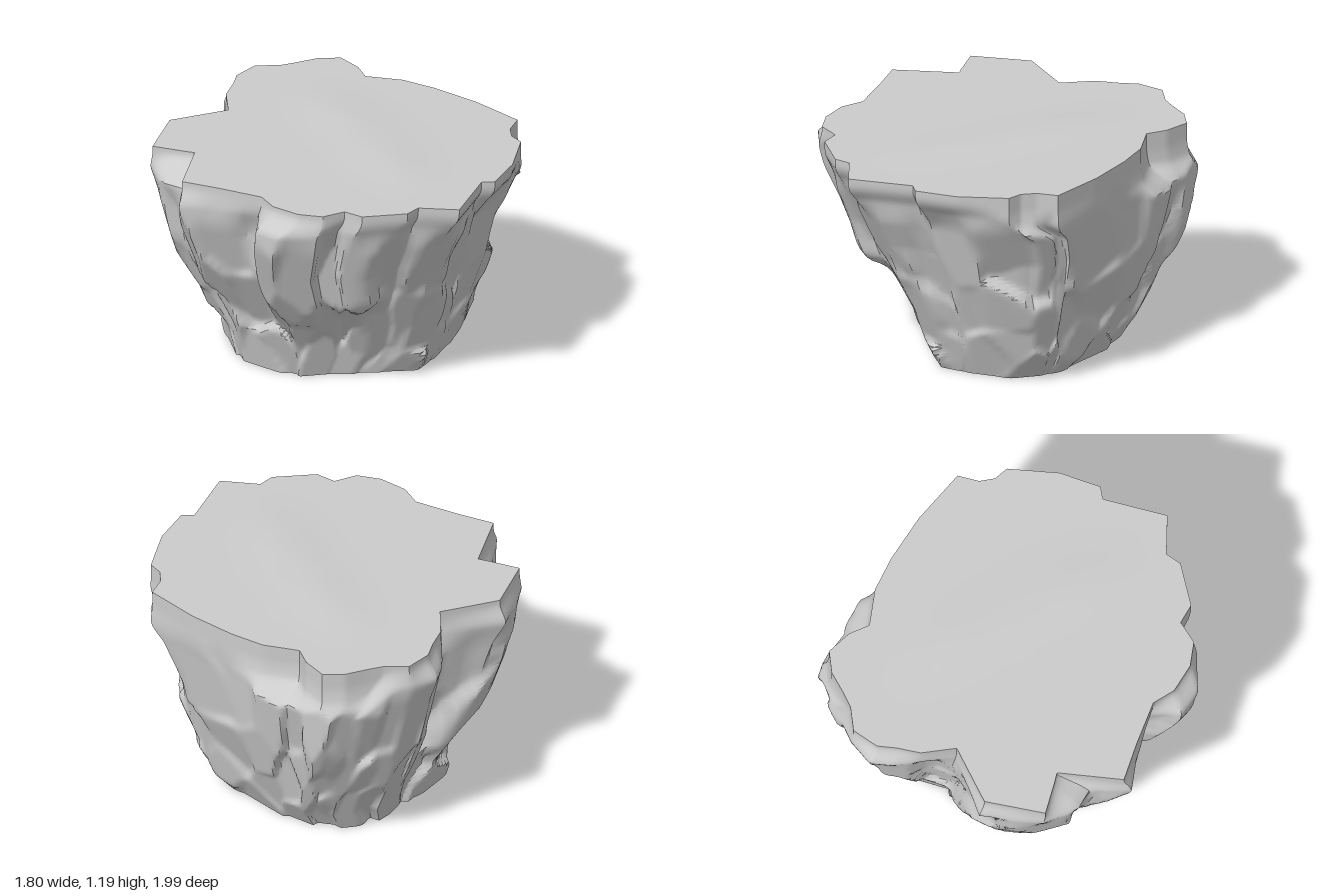
import * as THREE from 'three';
import { mergeVertices, toCreasedNormals } from 'three/addons/utils/BufferGeometryUtils.js';

const TOP = 1.18, ROWS = 64, SUB = 6;

// Rim outline, clockwise from the back notch: widest x, z, then flat top x, z
const RIM = [
  [-.04, -.7, -.04, -.7], [.1, -.84, .1, -.83], [.21, -.94, .22, -.88], [.31, -1, .31, -.93],
  [.46, -.95, .46, -.93], [.57, -.88, .55, -.83], [.68, -.82, .62, -.79], [.79, -.74, .74, -.73],
  [.89, -.65, .82, -.64], [.85, -.5, .79, -.5], [.86, -.4, .73, -.4], [.89, -.24, .82, -.22],
  [.86, -.03, .85, -.03], [.86, .24, .86, .24], [.84, .56, .83, .55], [.78, .58, .72, .59],
  [.78, .68, .66, .65], [.65, .77, .64, .73], [.4, .87, .4, .87], [.18, .93, .18, .93],
  [.13, .88, .13, .88], [-.2, 1, -.2, 1], [-.32, .82, -.32, .82], [-.41, .82, -.41, .82],
  [-.6, .66, -.59, .66], [-.61, .55, -.6, .55], [-.75, .52, -.72, .5], [-.87, .36, -.78, .38],
  [-.87, .2, -.79, .22], [-.74, .1, -.74, .1], [-.82, -.15, -.8, -.14], [-.9, -.31, -.86, -.34],
  [-.72, -.44, -.55, -.51], [-.74, -.56, -.57, -.56], [-.63, -.74, -.63, -.73], [-.33, -.91, -.33, -.86],
];

// Extents by height: y, min x, max x, min z, max z
const EXTENTS = [
  [0, -.46, .6, -.6, .49], [.12, -.49, .7, -.65, .57], [.34, -.56, .76, -.76, .64], [.55, -.71, .82, -.85, .73],
  [.75, -.82, .87, -.91, .79], [.93, -.87, .89, -.97, .89], [1.06, -.9, .89, -1, .95], [1.18, -.9, .89, -1, 1],
];

const { lerp, clamp, smoothstep } = THREE.MathUtils;

function seeded(seed) {
  return () => {
    seed = (seed * 1664525 + 1013904223) >>> 0;
    return seed / 4294967296;
  };
}

function extentAt(y) {
  let k = 0;
  while (k < EXTENTS.length - 2 && y > EXTENTS[k + 1][0]) k++;
  const a = EXTENTS[k], b = EXTENTS[k + 1];
  const t = clamp((y - a[0]) / (b[0] - a[0]), 0, 1);
  return a.map((v, i) => lerp(v, b[i], t));
}

// Uncut tapering body: u runs round the rim (0..1), y is the height
function bodyPoint(u, y) {
  const s = (((u % 1) + 1) % 1) * RIM.length, k = Math.floor(s) % RIM.length;
  const p = RIM[k].map((v, i) => lerp(v, RIM[(k + 1) % RIM.length][i], s - Math.floor(s)));
  const e = extentAt(y);
  // normalise to -1..1, easing the outline into a rounded square towards the foot
  let nx = (p[0] + .005) / .895, nz = p[1];
  const square = (Math.abs(nx) ** 2.6 + Math.abs(nz) ** 2.6) ** (1 / 2.6);
  let scale = lerp(1, 1 / square, .7 * (1 - smoothstep(y, 0, .9)));
  // the foot is cut back at the front right corner
  const corner = smoothstep((nz - nx) / (Math.hypot(nx, nz) * Math.SQRT2), .75, 1);
  scale *= 1 - .24 * corner * (1 - smoothstep(y, .05, .62));
  nx *= scale;
  nz *= scale;
  const x = (e[1] + e[2]) / 2 + nx * (e[2] - e[1]) / 2;
  const z = (e[3] + e[4]) / 2 + nz * (e[4] - e[3]) / 2;
  // bulges end in ledges below the flat top, lower on the left side
  const drop = .15 * smoothstep(p[0], .5, .75);
  const cap = smoothstep(y, 1.04 - drop, 1.16 - drop);
  return new THREE.Vector3(lerp(x, p[2], cap), y, lerp(z, p[3], cap));
}

// Planes of broken stone: tall slabs above, small blocks at the foot
function makeFacets() {
  const rnd = seeded(71), facets = [];
  for (const [count, low, high, tall] of [[28, .62, .95, .35], [30, .28, .62, .6], [28, .02, .28, .9]]) {
    for (let i = 0; i < count; i++) {
      const u = (i + .8 * rnd()) / count, y = lerp(low, high, rnd());
      const point = bodyPoint(u, y);
      const along = bodyPoint(u + .022, y).sub(bodyPoint(u - .022, y));
      const up = bodyPoint(u, Math.min(y + .1, .9)).sub(bodyPoint(u, Math.max(Math.min(y, .9) - .1, 0)));
      const normal = up.cross(along).normalize();
      normal.x += (rnd() - .5) * .2;
      normal.y += (rnd() - .5) * .3;
      normal.z += (rnd() - .5) * .2;
      facets.push({ u, y, tall, point, normal: normal.normalize(), push: (rnd() - .55) * .035 });
    }
  }
  return facets;
}

// Move a body point on to the planes of its nearest facets, blended where they meet
function carvedPoint(u, y, facets) {
  const q = bodyPoint(u, y);
  const fade = 1 - smoothstep(y, .9, 1.1);
  if (fade === 0) return q;
  const e = extentAt(y);
  const out = new THREE.Vector3(q.x - (e[1] + e[2]) / 2, 0, q.z - (e[3] + e[4]) / 2).normalize();
  const distances = facets.map((f) => {
    const du = Math.abs(f.u - u);
    return Math.hypot(Math.min(du, 1 - du) * 5, (f.y - y) * f.tall);
  });
  const nearest = Math.min(...distances);
  let sum = 0, total = 0;
  facets.forEach((f, i) => {
    const weight = Math.exp((nearest - distances[i]) / .009);
    if (weight < .001) return;
    const move = f.normal.dot(f.point.clone().sub(q)) / Math.max(f.normal.dot(out), .35) + f.push;
    sum += weight * clamp(move, -.045, .03);
    total += weight;
  });
  return q.addScaledVector(out, sum / total * fade);
}

function meshFrom(name, positions, index, crease) {
  let geometry = new THREE.BufferGeometry();
  geometry.setAttribute('position', new THREE.Float32BufferAttribute(positions, 3));
  geometry.setIndex(index);
  geometry = toCreasedNormals(mergeVertices(geometry), crease);
  const mesh = new THREE.Mesh(geometry, new THREE.MeshStandardMaterial({ color: 0xcccccc }));
  mesh.name = name;
  return mesh;
}

// Flat face made of rings shrinking from an edge loop to a centre
function makeFace(name, loop, cx, cz, height, upward) {
  const n = loop.length, rings = 8, positions = [], index = [];
  for (let r = 0; r <= rings; r++) {
    for (const p of loop) {
      const x = lerp(p.x, cx, r / rings), z = lerp(p.z, cz, r / rings);
      positions.push(x, r === 0 ? p.y : height(x, z), z);
    }
  }
  for (let r = 0; r < rings; r++) {
    for (let j = 0; j < n; j++) {
      const k = (j + 1) % n, a = r * n + j, b = r * n + k, c = a + n, d = b + n;
      if (upward) index.push(a, c, b, b, c, d);
      else index.push(a, b, c, b, d, c);
    }
  }
  return meshFrom(name, positions, index, .6);
}

export function createModel() {
  const group = new THREE.Group();
  group.name = 'rock';
  const facets = makeFacets(), n = RIM.length * SUB;
  const rows = [];
  for (let i = 0; i <= ROWS; i++) {
    const row = [];
    for (let j = 0; j < n; j++) row.push(carvedPoint(j / n, TOP * i / ROWS, facets));
    rows.push(row);
  }

  // Broken sides
  const positions = rows.flat().flatMap((p) => [p.x, p.y, p.z]), index = [];
  for (let i = 0; i < ROWS; i++) {
    for (let j = 0; j < n; j++) {
      const k = (j + 1) % n, a = i * n + j, b = i * n + k, c = a + n, d = b + n;
      index.push(a, c, b, b, c, d);
    }
  }
  group.add(meshFrom('rockSides', positions, index, .7));

  // Level top with a faint diagonal ridge, and the flat underside
  const ridge = (x, z) => TOP + .015 * Math.exp(-(((x - .2 + .5 * z) / .2) ** 2)) * (1 - smoothstep(Math.hypot(x, z), .3, .85));
  group.add(makeFace('rockTop', rows[ROWS], 0, 0, ridge, true));
  group.add(makeFace('rockUnderside', rows[0], .07, -.06, () => 0, false));
  return group;
}
